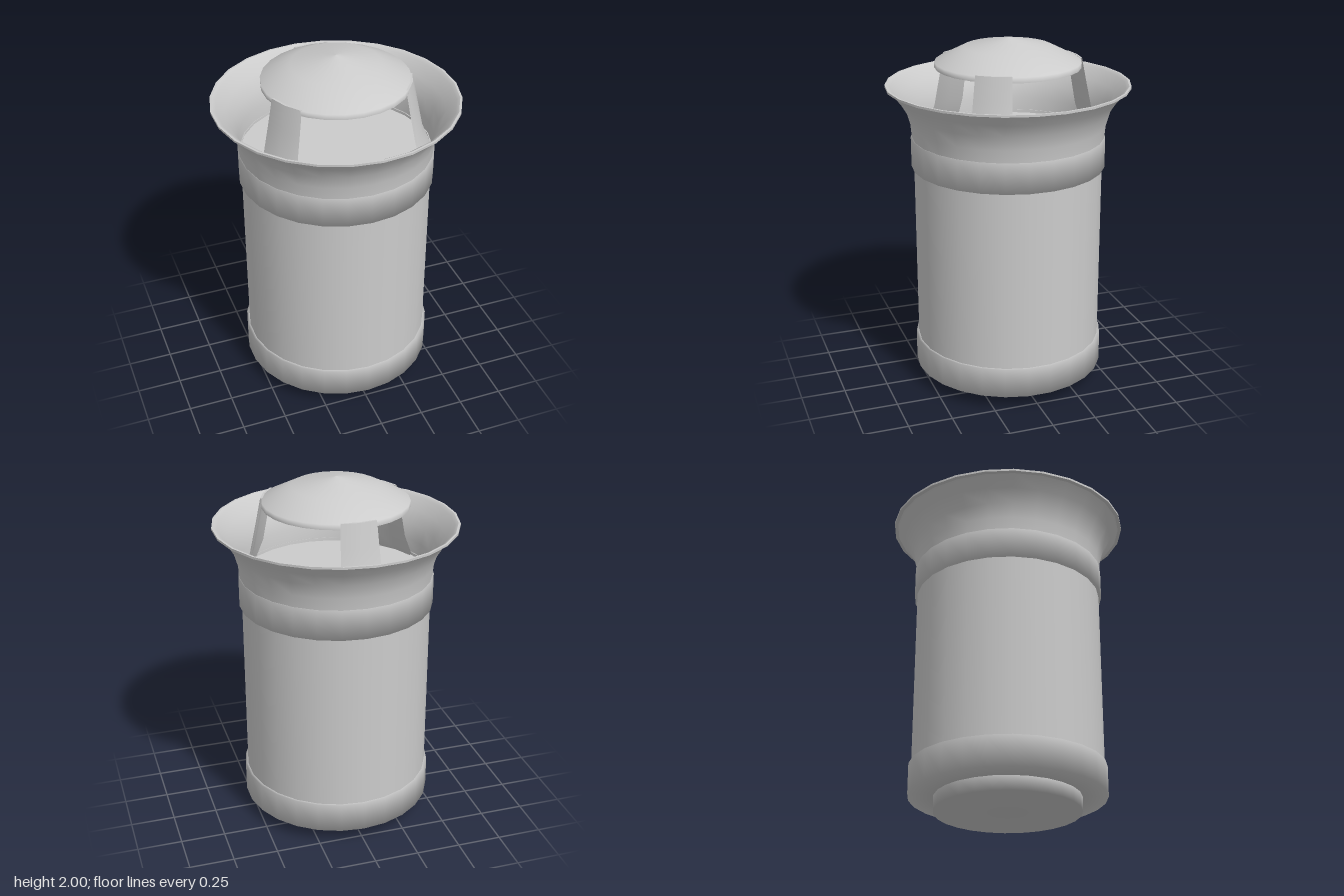
import * as THREE from 'three';

const SIDES = 26;
const material = new THREE.MeshStandardMaterial({ color: 0xcccccc, side: THREE.DoubleSide });

// Revolve a [radius, y] profile about the y axis; a repeated point makes a sharp edge
function turned(name, profile, segments = SIDES, start = 0, length = Math.PI * 2) {
  const points = profile.map(([r, y]) => new THREE.Vector2(r, y));
  const mesh = new THREE.Mesh(new THREE.LatheGeometry(points, segments, start, length), material);
  mesh.name = name;
  return mesh;
}

export function createModel() {
  const model = new THREE.Group();
  model.name = 'lantern';

  // Foot, softly shaded into its underside
  model.add(turned('foot', [[0, 0], [0.405, 0], [0.405, 0.08]]));

  // Main barrel
  model.add(turned('body', [[0.53, 0.1], [0.53, 1.43]]));

  // Two matching bands, square in outline with soft shading
  for (const [name, y] of [['lowerBand', 0.08], ['upperBand', 1.28]]) {
    model.add(turned(name, [[0.4, y], [0.545, y], [0.545, y + 0.17], [0.525, y + 0.17]]));
  }

  // Flared collar with a thin lip, outside then inside
  model.add(turned('flare', [
    [0.537, 1.43], [0.545, 1.52], [0.568, 1.6], [0.61, 1.67], [0.66, 1.732], [0.66, 1.732],
    [0.68, 1.735], [0.68, 1.735], [0.68, 1.747], [0.68, 1.747], [0.668, 1.747], [0.668, 1.747],
    [0.65, 1.735], [0.6, 1.675], [0.558, 1.605], [0.535, 1.52], [0.53, 1.43],
  ]));

  // Flat floor inside the flare
  model.add(turned('floor', [[0.535, 1.43], [0, 1.43]]));

  // Three curved straps that hold the cap
  const strap = [
    [0.53, 1.43], [0.475, 1.56], [0.437, 1.74], [0.41, 1.875], [0.41, 1.875],
    [0.398, 1.875], [0.398, 1.875], [0.425, 1.74], [0.463, 1.56], [0.518, 1.43],
  ];
  const half = (Math.PI * 2) / SIDES;
  for (let i = 0; i < 3; i++) {
    const angle = Math.PI / 3 + (i * Math.PI * 2) / 3;
    model.add(turned('strap' + (i + 1), strap, 2, angle - half, half * 2));
  }

  // Shallow domed cap
  model.add(turned('cap', [
    [0, 1.84], [0.405, 1.84], [0.405, 1.84], [0.405, 1.87], [0.245, 1.95], [0, 2],
  ]));

  return model;
}
